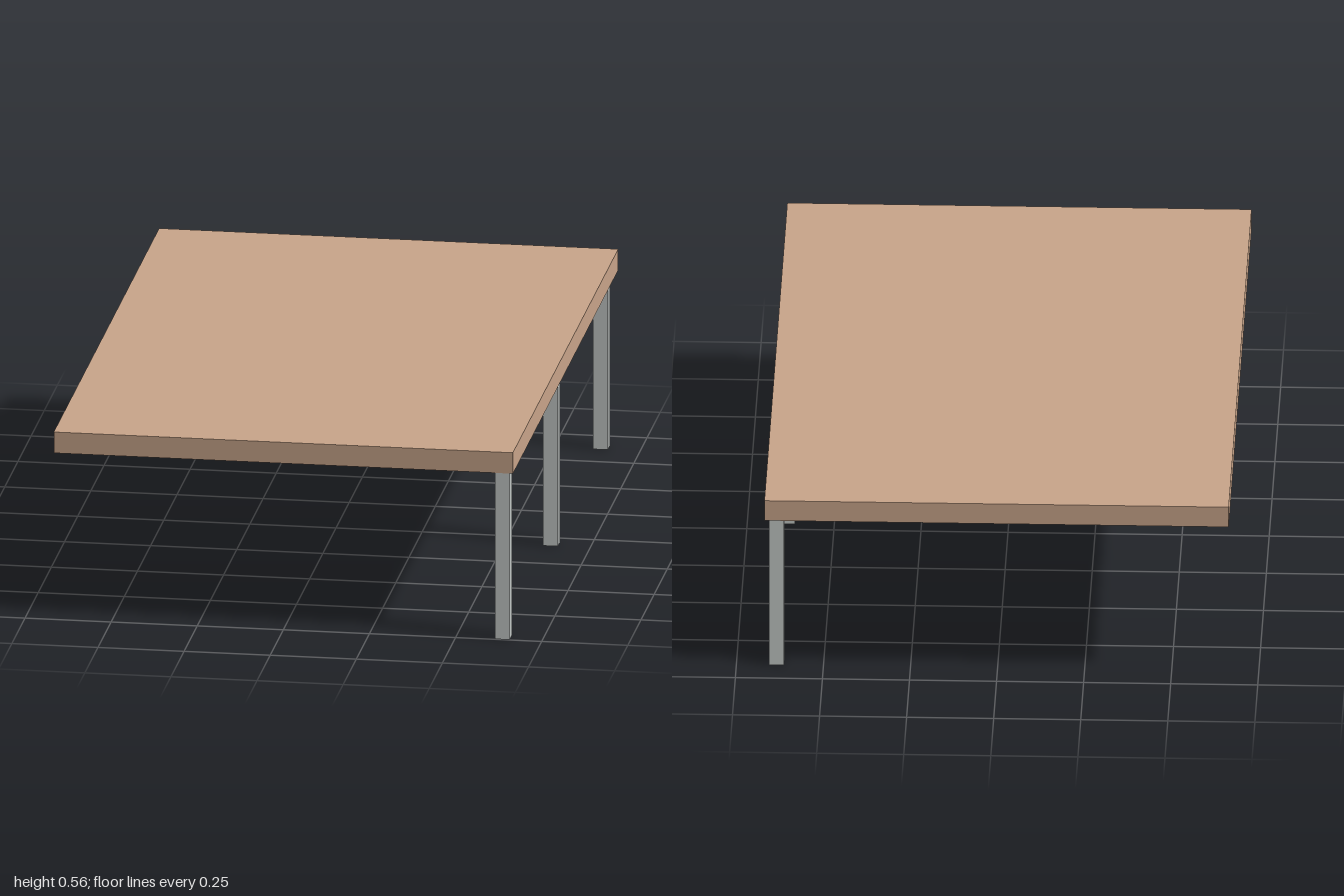
import * as THREE from 'three';

export function createModel() {
  const model = new THREE.Group();
  model.name = 'table';

  const wood = new THREE.MeshStandardMaterial({ color: 0xc9a58a });
  wood.name = 'light wood';
  const metal = new THREE.MeshStandardMaterial({ color: 0xc4c9c7 });
  metal.name = 'pale grey metal';

  const addBox = (name, material, size, position) => {
    const mesh = new THREE.Mesh(new THREE.BoxGeometry(...size), material);
    mesh.name = name;
    mesh.position.set(...position);
    model.add(mesh);
  };

  // Flat top slab
  const legHeight = 0.5, thickness = 0.063;
  addBox('tableTop', wood, [1.333, thickness, 2], [0, legHeight + thickness / 2, 0]);

  // Three square legs along the left edge only
  const legs = { frontLeg: 0.975, middleLeg: 0.058, backLeg: -0.89 };
  for (const [name, z] of Object.entries(legs)) {
    addBox(name, metal, [0.043, legHeight, 0.043], [0.635, legHeight / 2, z]);
  }

  return model;
}
